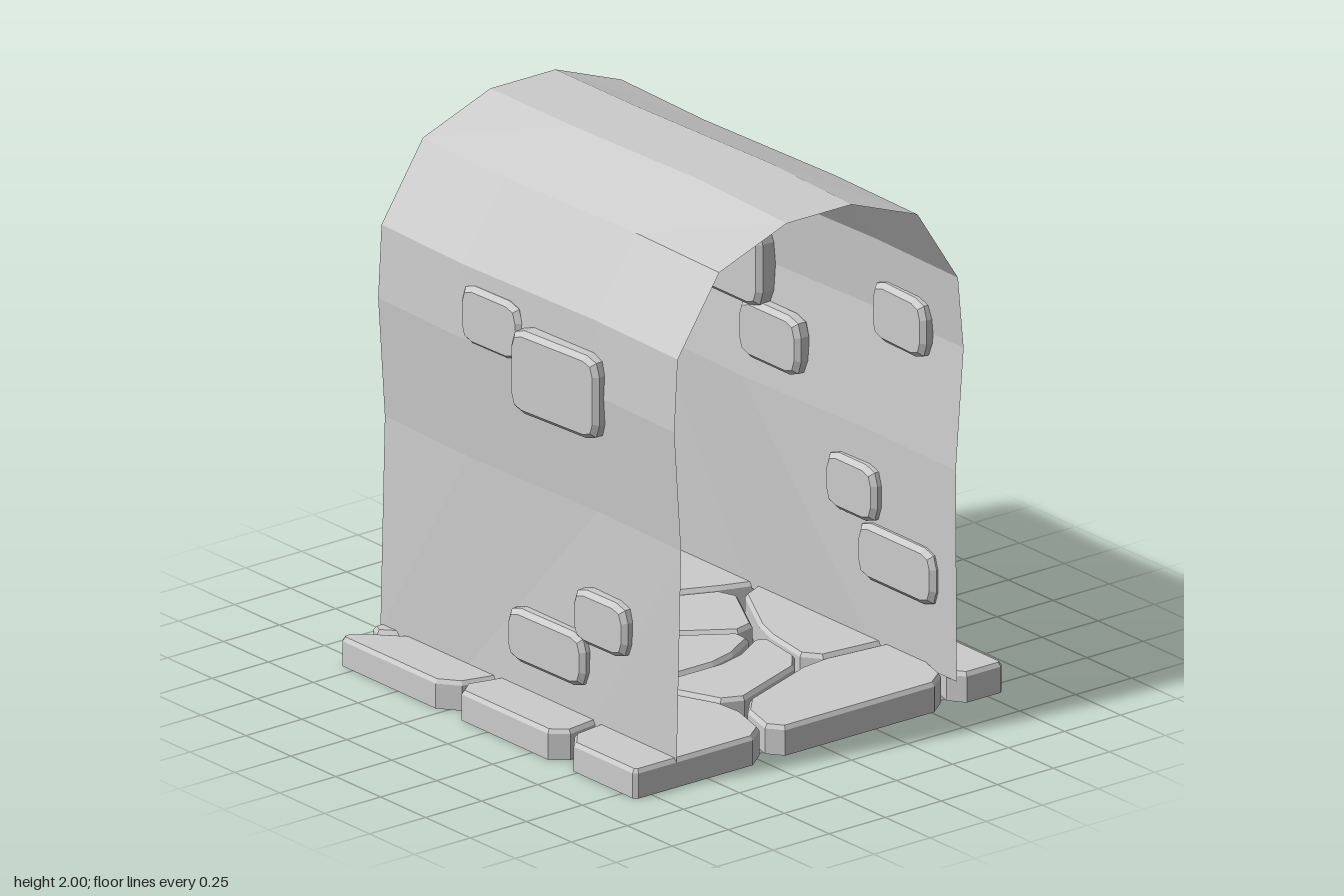
import * as THREE from 'three';

const material = new THREE.MeshStandardMaterial({ color: 0xcccccc, flatShading: true, side: THREE.DoubleSide });

// Moves every edge of a counter-clockwise outline inward by d
function inset(points, d) {
  const n = points.length;
  const normal = (a, b) => new THREE.Vector2(a.y - b.y, b.x - a.x).normalize();
  return points.map((p, i) => {
    const n1 = normal(points[(i + n - 1) % n], p);
    const n2 = normal(p, points[(i + 1) % n]);
    const k = d / (1 + n1.dot(n2));
    return n1.add(n2).multiplyScalar(k).add(p);
  });
}

// Cuts each corner off, with extra points in between for a rounder corner
function cutCorners(points, size, steps = 1) {
  const n = points.length, out = [];
  points.forEach((p, i) => {
    const along = (q) => {
      const v = q.clone().sub(p);
      return p.clone().add(v.setLength(Math.min(size(p), v.length() * 0.3)));
    };
    const curve = new THREE.QuadraticBezierCurve(along(points[(i + n - 1) % n]), p, along(points[(i + 1) % n]));
    out.push(...curve.getPoints(steps));
  });
  return out;
}

// Joins outlines stacked along z; caps the last and, if asked, the first
function loft(rings, capFirst) {
  const pos = [];
  const put = (...vs) => vs.forEach((v) => pos.push(v.x, v.y, v.z));
  const loops = rings.map(({ points, z }) => points.map((p) => new THREE.Vector3(p.x, p.y, z)));
  const n = loops[0].length;
  for (let r = 0; r < loops.length - 1; r++) {
    for (let i = 0; i < n; i++) {
      const j = (i + 1) % n, a = loops[r], b = loops[r + 1];
      put(a[i], a[j], b[j], a[i], b[j], b[i]);
    }
  }
  const cap = (loop, flip) => {
    const c = new THREE.Vector3();
    loop.forEach((p) => c.addScaledVector(p, 1 / n));
    loop.forEach((p, i) => (flip ? put(c, loop[(i + 1) % n], p) : put(c, p, loop[(i + 1) % n])));
  };
  cap(loops[loops.length - 1], false);
  if (capFirst) cap(loops[0], true);
  const g = new THREE.BufferGeometry();
  g.setAttribute('position', new THREE.Float32BufferAttribute(pos, 3));
  g.computeVertexNormals();
  return g;
}

// Thin arched shell: one wavy profile swept through four rows
function tunnelShell() {
  const profile = [
    [-0.64, 0.09], [-0.62, 0.88], [-0.65, 1.33], [-0.635, 1.6], [-0.45, 1.88], [-0.15, 1.99],
    [0.14, 1.99], [0.435, 1.88], [0.615, 1.6], [0.64, 1.33], [0.605, 0.88], [0.61, 0.09],
  ];
  const rows = [[-0.825, 0, 0], [-0.35, -0.015, 0.01], [0.35, 0.01, 0.01], [0.825, 0, 0]];
  const pos = [], index = [], n = profile.length;
  rows.forEach(([z, dx, dy], r) => profile.forEach(([x, y], i) => {
    pos.push(x + (y > 0.5 ? dx : 0), y + (y > 1.9 ? dy : 0), z);
    if (r < 3 && i < n - 1) {
      const a = r * n + i, b = a + n;
      index.push(a, b, b + 1, a, b + 1, a + 1);
    }
  }));
  const g = new THREE.BufferGeometry();
  g.setAttribute('position', new THREE.Float32BufferAttribute(pos, 3));
  g.setIndex(index);
  g.computeVertexNormals();
  return g;
}

// Paving slab with bevelled top and open underside
function slab(corners, height) {
  const gap = 0.012;
  const square = (p) => Math.abs(p.x) > 0.8 && Math.abs(p.y) > 0.8;
  const edge = cutCorners(inset(corners, gap), (p) => (square(p) ? 0.015 : 0.06));
  const g = loft([
    { points: edge, z: 0 },
    { points: edge, z: height - 0.015 },
    { points: inset(edge, 0.01), z: height },
  ], false);
  return g.rotateX(-Math.PI / 2);
}

// Wall stone with rounded corners, bevelled on both faces
function stone(w, h, t) {
  const rect = [[-w, -h], [w, -h], [w, h], [-w, h]].map(([x, y]) => new THREE.Vector2(x / 2, y / 2));
  const full = cutCorners(rect, () => 0.065, 2);
  const small = inset(full, 0.018);
  return loft([
    { points: small, z: -t / 2 },
    { points: full, z: -t / 2 + 0.018 },
    { points: full, z: t / 2 - 0.018 },
    { points: small, z: t / 2 },
  ], true);
}

export function createModel() {
  const model = new THREE.Group();
  const add = (name, geometry, parent = model) => {
    const mesh = new THREE.Mesh(geometry, material);
    mesh.name = name;
    parent.add(mesh);
    return mesh;
  };

  add('tunnelShell', tunnelShell());

  // Paving: shared joints (x, z) and the slabs between them
  const E = 0.835;
  const joints = [
    [-E, -E], [-0.76, -E], [-0.05, -E], [E, -E], [E, -0.25], [E, 0.39], [E, E], [0.58, E], [-0.23, E], [-E, E],
    [-E, 0.41], [-E, -0.22], [-0.6, -0.66], [-0.05, -0.5], [-0.55, -0.15], [-0.35, -0.4], [0.55, -0.32],
    [0.25, -0.45], [0.05, -0.15], [-0.2, -0.05], [-0.3, 0.2], [0.1, 0.2], [0.35, 0.05], [0.7, 0.42],
    [0.3, 0.38], [-0.15, 0.55], [-0.55, 0.37],
  ];
  const cells = [
    [0, 1, 12, 15, 14, 11], [1, 2, 13, 15, 12], [2, 3, 4, 16, 17, 13], [13, 17, 16, 22, 18],
    [4, 5, 23, 24, 22, 16], [15, 13, 18, 19, 14], [18, 22, 21, 20, 19], [22, 24, 25, 20, 21],
    [14, 19, 20, 26, 10, 11], [10, 26, 20, 25, 8, 9], [25, 24, 23, 7, 8], [5, 6, 7, 23],
  ];
  const paving = new THREE.Group();
  paving.name = 'paving';
  model.add(paving);
  cells.forEach((cell, i) => {
    const corners = cell.map((k) => new THREE.Vector2(joints[k][0], -joints[k][1])).reverse();
    add('pavingSlab', slab(corners, 0.108 + 0.002 * (i % 3)), paving);
  });

  // Wall stones through the shell: x, y, z, width, height, thickness, yaw
  const stones = [
    ['rightWallStone', 0.605, 1.325, -0.44, 0.46, 0.31, 0.1, 0],
    ['rightWallStone', 0.637, 1.34, 0.495, 0.31, 0.22, 0.065, -0.04],
    ['rightWallStone', 0.601, 1.08, -0.18, 0.34, 0.22, 0.07, 0],
    ['rightWallStone', 0.614, 0.65, 0.26, 0.28, 0.21, 0.07, 0],
    ['rightWallStone', 0.62, 0.435, 0.505, 0.43, 0.21, 0.07, 0],
    ['leftWallStone', -0.635, 1.43, -0.19, 0.32, 0.22, 0.065, 0.03],
    ['leftWallStone', -0.645, 1.325, 0.195, 0.45, 0.31, 0.1, 0.07],
    ['leftWallStone', -0.632, 0.495, 0.42, 0.29, 0.2, 0.075, 0.02],
    ['leftWallStone', -0.632, 0.315, 0.12, 0.42, 0.2, 0.075, 0.02],
  ];
  for (const [name, x, y, z, w, h, t, yaw] of stones) {
    const mesh = add(name, stone(w, h, t));
    mesh.position.set(x, y, z);
    mesh.rotation.y = Math.PI / 2 + yaw;
  }
  return model;
}
